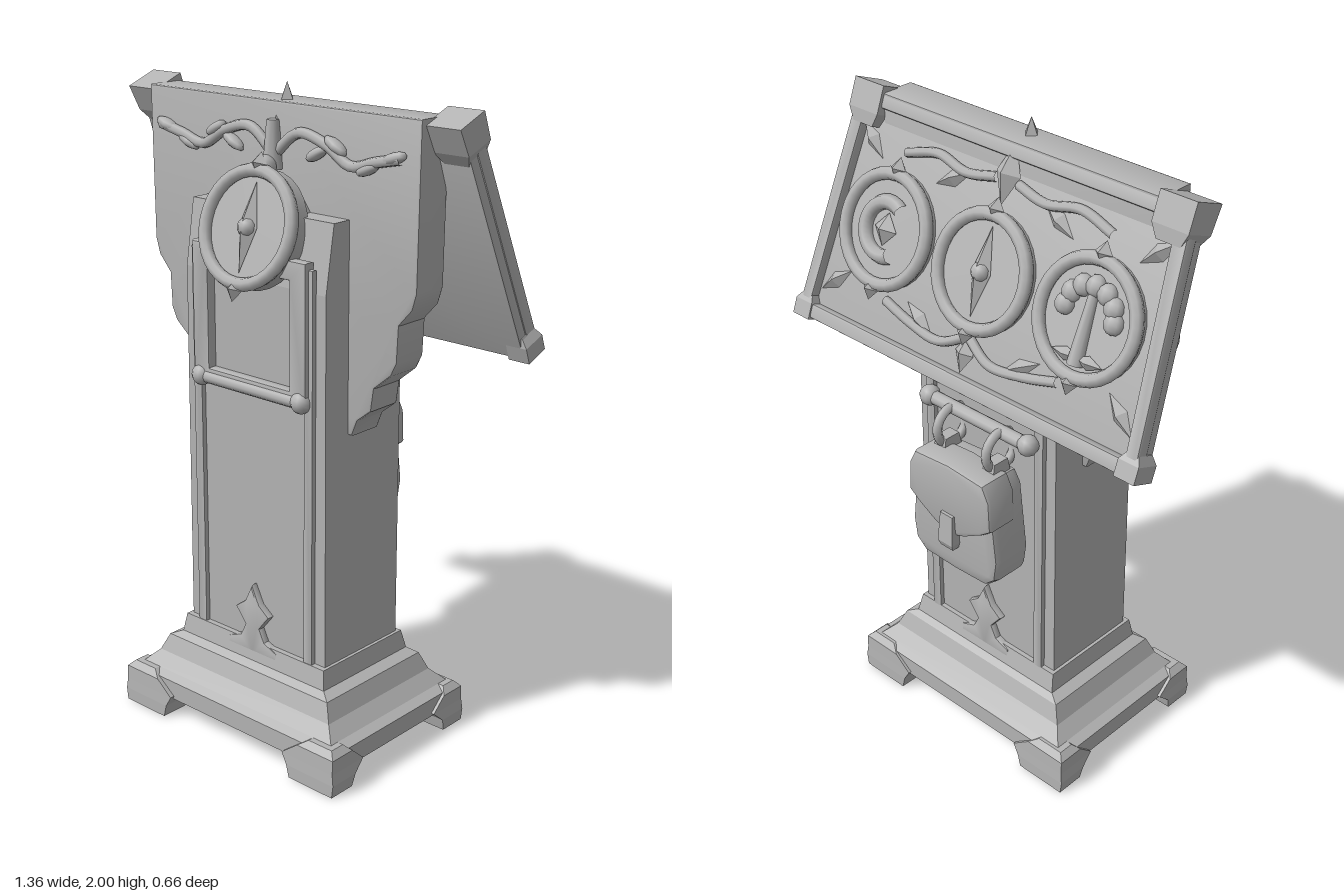
import * as THREE from 'three';
import { toCreasedNormals } from 'three/addons/utils/BufferGeometryUtils.js';

const stone = new THREE.MeshStandardMaterial({ color: 0xb4b4b4 });
stone.name = 'plain grey';

function add(parent, name, geometry, x = 0, y = 0, z = 0) {
  const mesh = new THREE.Mesh(geometry, stone);
  mesh.name = name;
  mesh.position.set(x, y, z);
  parent.add(mesh);
  return mesh;
}

// Solid through stacked rectangles, each [x0, x1, z0, z1, y]
function rectLoft(rings) {
  const loops = rings.map(([x0, x1, z0, z1, y]) => [[x0, y, z1], [x1, y, z1], [x1, y, z0], [x0, y, z0]]);
  const pos = [];
  const quad = (a, b, c, d) => pos.push(...a, ...b, ...c, ...a, ...c, ...d);
  for (let i = 0; i < loops.length - 1; i++) {
    for (let k = 0; k < 4; k++) {
      const n = (k + 1) % 4;
      quad(loops[i][k], loops[i][n], loops[i + 1][n], loops[i + 1][k]);
    }
  }
  const b = loops[0], t = loops[loops.length - 1];
  quad(b[3], b[2], b[1], b[0]);
  quad(t[0], t[1], t[2], t[3]);
  const g = new THREE.BufferGeometry();
  g.setAttribute('position', new THREE.Float32BufferAttribute(pos, 3));
  g.computeVertexNormals();
  return g;
}

const toShape = pts => new THREE.Shape(pts.map(p => new THREE.Vector2(...p)));
const mirrored = half => [...half, ...half.slice().reverse().filter(p => p[0] !== 0).map(([x, y]) => [-x, y])];

function plate(shape, depth, bevel = 0) {
  const g = new THREE.ExtrudeGeometry(shape, {
    depth: depth - 2 * bevel, bevelEnabled: bevel > 0, bevelThickness: bevel,
    bevelSize: bevel, bevelOffset: -bevel, bevelSegments: 2, curveSegments: 12
  });
  g.translate(0, 0, bevel);
  return toCreasedNormals(g, 0.6);
}

function frame(outer, inner, depth, bevel) {
  const s = toShape(outer);
  s.holes.push(new THREE.Path(inner.map(p => new THREE.Vector2(...p))));
  return plate(s, depth, bevel);
}
const rect = (hx, y0, y1) => [[-hx, y0], [hx, y0], [hx, y1], [-hx, y1]];

function tube(points, r) {
  const curve = new THREE.CatmullRomCurve3(points.map(p => new THREE.Vector3(...p)));
  return new THREE.TubeGeometry(curve, 28, r, 7);
}

// Pointed diamond with a ridged middle
function gem(w, h, d) {
  return new THREE.OctahedronGeometry(1).scale(w, h, d);
}

const fleurShape = () => toShape(mirrored([
  [0, 0], [0.11, 0], [0.1, 0.04], [0.05, 0.06], [0.03, 0.1], [0.07, 0.15], [0.03, 0.18], [0, 0.24]
]));

// Ring with backing disc, pointed tips and a relief in the middle
function medallion(name, radius, relief) {
  const g = new THREE.Group();
  g.name = name;
  add(g, 'medallionDisc', new THREE.CylinderGeometry(radius, radius, 0.05, 28).rotateX(Math.PI / 2), 0, 0, -0.02);
  add(g, 'medallionRing', new THREE.TorusGeometry(radius - 0.012, 0.02, 8, 32), 0, 0, 0.012);
  for (const s of [-1, 1]) add(g, 'medallionTip', gem(0.03, 0.035, 0.028), 0, s * (radius + 0.005), 0.015);
  if (relief === 'pointer') {
    add(g, 'pointer', gem(0.035, radius * 0.75, 0.03), 0, 0, 0.01);
    add(g, 'pointerHub', new THREE.SphereGeometry(0.03, 10, 8), 0, 0, 0.012);
  } else if (relief === 'crescent') {
    add(g, 'crescent', new THREE.TorusGeometry(0.08, 0.024, 7, 18, 4.2), 0, 0, 0.01).rotation.z = 1;
    add(g, 'crescentKnob', gem(0.045, 0.05, 0.03), 0, 0, 0.01);
  } else {
    add(g, 'treeTrunk', new THREE.CylinderGeometry(0.014, 0.024, 0.2, 7), 0, -0.03, 0.01);
    for (let i = 0; i < 7; i++) {
      const a = Math.PI * i / 6;
      add(g, 'treeLeaf', new THREE.SphereGeometry(0.032, 8, 6).scale(1, 1, 0.8), 0.085 * Math.cos(a), 0.015 + 0.075 * Math.sin(a), 0.008);
    }
    for (const s of [-1, 1]) add(g, 'treeRoot', gem(0.05, 0.02, 0.02), s * 0.04, -0.11, 0.01);
  }
  return g;
}

// Mirrored leafy scroll around x = 0
function scroll(parent, reach, y, z) {
  for (const s of [-1, 1]) {
    const p = [[0, -0.02], [0.2, 0.05], [0.42, 0.03], [0.62, -0.02], [0.8, 0], [1, 0.02]];
    add(parent, 'scrollStem', tube(p.map(([x, dy]) => [s * x * reach, y + dy, z]), 0.016));
    for (const [x, dy, turn] of [[0.35, 0, 0.5], [0.5, 0.03, -0.5], [0.75, -0.02, 0.4], [0.95, 0.02, 0.3]]) {
      add(parent, 'scrollLeaf', new THREE.SphereGeometry(1, 8, 6).scale(0.045, 0.017, 0.02), s * x * reach, y + dy, z).rotation.z = s * turn;
    }
  }
}

function crossBar(parent, name, z) {
  add(parent, name, new THREE.CylinderGeometry(0.022, 0.022, 0.42, 10).rotateZ(Math.PI / 2), 0, 1.13, z);
  for (const s of [-1, 1]) add(parent, name + 'Knob', new THREE.SphereGeometry(0.033, 10, 8), s * 0.2, 1.13, z);
}

export function createModel() {
  const model = new THREE.Group();
  model.name = 'lectern';

  // Moulded base on four bracket feet
  add(model, 'base', rectLoft([
    [-0.43, 0.43, -0.28, 0.315, 0.065], [-0.43, 0.43, -0.28, 0.315, 0.125], [-0.4, 0.4, -0.26, 0.29, 0.14],
    [-0.36, 0.36, -0.22, 0.255, 0.18], [-0.335, 0.335, -0.2, 0.235, 0.235], [-0.3, 0.3, -0.18, 0.21, 0.25],
    [-0.29, 0.29, -0.165, 0.2, 0.31]
  ]));
  for (const sx of [-1, 1]) for (const sz of [-1, 1]) {
    const span = (a, b) => [Math.min(a, b), Math.max(a, b)];
    const ring = (xi, zi, xo, zo, y) => [...span(sx * xi, sx * xo), ...span(0.02 + sz * zi, 0.02 + sz * zo), y];
    add(model, 'foot', rectLoft([
      ring(0.27, 0.22, 0.44, 0.312, 0), ring(0.26, 0.21, 0.445, 0.312, 0.04),
      ring(0.24, 0.17, 0.44, 0.31, 0.075), ring(0.3, 0.22, 0.44, 0.308, 0.12), ring(0.33, 0.24, 0.42, 0.29, 0.14)
    ]));
  }

  // Column, narrowing at the top
  add(model, 'column', rectLoft([
    [-0.28, 0.28, -0.15, 0.182, 0.27], [-0.275, 0.275, -0.15, 0.182, 1.45], [-0.275, 0.275, -0.08, 0.15, 1.65]
  ]));
  add(model, 'frontPanelFrame', frame(rect(0.24, 0.26, 1.52), rect(0.205, 0.3, 1.49), 0.02, 0.006), 0, 0, 0.178);
  add(model, 'backPanelFrame', frame(rect(0.24, 0.26, 1.4), rect(0.205, 0.3, 1.37), 0.02, 0.006), 0, 0, -0.166);
  add(model, 'frontFleur', plate(fleurShape(), 0.03, 0.008), 0, 0.26, 0.175);
  add(model, 'backFleur', plate(fleurShape(), 0.03, 0.008), 0, 0.26, -0.173);

  // Front bracket under the medallion
  add(model, 'frontBracketFrame', frame(rect(0.225, 1.13, 1.54), rect(0.16, 1.16, 1.48), 0.04, 0.01), 0, 0, 0.172);
  crossBar(model, 'frontBar', 0.2);
  crossBar(model, 'backBar', -0.185);

  // Stepped wing slab carrying the reading board
  const wing = toShape(mirrored([
    [0, 1.02], [0.29, 1.02], [0.31, 1.07], [0.36, 1.11], [0.37, 1.18], [0.43, 1.23], [0.45, 1.27],
    [0.455, 1.38], [0.5, 1.43], [0.515, 1.48], [0.52, 1.95], [0, 1.95]
  ]));
  add(model, 'wingSlab', plate(wing, 0.12, 0.008), 0, 0, -0.035);

  // Front crest, finial and medallion
  scroll(model, 0.46, 1.82, 0.095);
  add(model, 'finialSpike', gem(0.045, 0.1, 0.05), 0, 1.9, 0.04);
  add(model, 'finialStem', new THREE.CylinderGeometry(0.018, 0.03, 0.14, 8), 0, 1.83, 0.1);
  add(model, 'finialKnob', new THREE.SphereGeometry(0.035, 10, 8), 0, 1.77, 0.135);
  const front = medallion('frontMedallion', 0.175, 'pointer');
  front.position.set(0, 1.605, 0.195);
  front.rotation.x = -0.3;
  add(front, 'medallionSeat', new THREE.CylinderGeometry(0.15, 0.15, 0.1, 24).rotateX(Math.PI / 2), 0, 0, -0.06);
  model.add(front);

  // Sloping reading board; its own +z is the reading side
  const board = new THREE.Group();
  board.name = 'readingBoard';
  board.rotation.set(-0.37, Math.PI, 0, 'YXZ');
  board.position.set(0, 1.6, -0.125);
  const outline = inset => [
    [-0.67 + inset, -0.36 + inset], [0.67 - inset, -0.36 + inset], [0.62 - inset, 0.36 - inset], [-0.62 + inset, 0.36 - inset]
  ];
  add(board, 'boardPanel', plate(toShape(outline(0.005)), 0.045, 0.005), 0, 0, -0.035);
  add(board, 'boardRim', frame(outline(0), outline(0.045), 0.045, 0.008), 0, 0, -0.005);
  for (const s of [-1, 1]) {
    add(board, 'topCornerCap', rectLoft([
      [-0.04, 0.04, -0.035, 0.04, -0.07], [-0.06, 0.06, -0.05, 0.05, -0.03], [-0.06, 0.06, -0.06, 0.05, 0.055]
    ]), s * 0.572, 0.325, 0.0);
    add(board, 'bottomCornerCap', rectLoft([
      [-0.035, 0.035, -0.04, 0.04, -0.03], [-0.035, 0.035, -0.04, 0.04, 0.02], [-0.02, 0.02, -0.03, 0.03, 0.045]
    ]), s * 0.645, -0.335, 0.005);
    // Small leaf sprays between the rings and along the edges
    for (const [x, y, turn] of [[0.2, -0.22, 0.5], [0.2, 0.2, -0.5], [0.54, 0.22, 0.7], [0.56, -0.22, -0.7]]) {
      add(board, 'boardLeaf', gem(0.07, 0.025, 0.025), s * x, y, 0.012).rotation.z = s * turn;
    }
    add(board, 'boardVine', tube([[0.04, 0.25, 0.02], [0.15, 0.23, 0.025], [0.27, 0.25, 0.02], [0.39, 0.22, 0.02]].map(([x, y, z]) => [s * x, y, z]), 0.015));
    add(board, 'lowerVine', tube([[0, -0.2, 0.02], [0.1, -0.25, 0.025], [0.22, -0.24, 0.02], [0.34, -0.21, 0.02]].map(([x, y, z]) => [s * x, y, z]), 0.015));
  }
  add(board, 'boardFinial', gem(0.045, 0.09, 0.035), 0, 0.27, 0.025);
  add(board, 'lowerFinial', gem(0.035, 0.06, 0.025), 0, -0.25, 0.02);
  [['crescent', -0.39], ['pointer', 0], ['tree', 0.39]].forEach(([relief, x]) => {
    const m = medallion(relief + 'Medallion', 0.175, relief);
    m.position.set(x, -0.01, 0.025);
    board.add(m);
  });
  model.add(board);

  // Pouch hanging on the back bar
  const pouch = new THREE.Group();
  pouch.name = 'pouch';
  pouch.rotation.y = Math.PI;
  pouch.position.set(0, 0, -0.155);
  const bag = toShape(mirrored([
    [0, 0.64], [0.13, 0.645], [0.17, 0.68], [0.18, 0.75], [0.165, 0.88], [0.155, 0.97], [0.13, 1.01], [0, 1.02]
  ]));
  const bagBody = plate(bag, 0.145, 0.025);
  add(pouch, 'pouchBody', bagBody);
  const flap = toShape(mirrored([
    [0, 0.78], [0.06, 0.8], [0.13, 0.84], [0.17, 0.87], [0.165, 0.97], [0.14, 1.02], [0, 1.03]
  ]));
  add(pouch, 'pouchFlap', plate(flap, 0.11, 0.012), 0, 0, 0.05);
  add(pouch, 'pouchClasp', rectLoft([
    [-0.025, 0.025, 0.13, 0.17, 0.74], [-0.03, 0.03, 0.13, 0.178, 0.76], [-0.025, 0.025, 0.14, 0.17, 0.86]
  ]));
  for (const s of [-1, 1]) {
    add(pouch, 'pouchLoop', new THREE.TorusGeometry(0.06, 0.015, 7, 20).rotateY(Math.PI / 2), s * 0.1, 1.075, 0.04);
    add(pouch, 'pouchLoopTab', rectLoft([[-0.025, 0.025, 0.02, 0.1, 0.99], [-0.02, 0.02, 0.03, 0.085, 1.05]]), s * 0.1, 0, 0);
  }
  model.add(pouch);

  return model;
}
